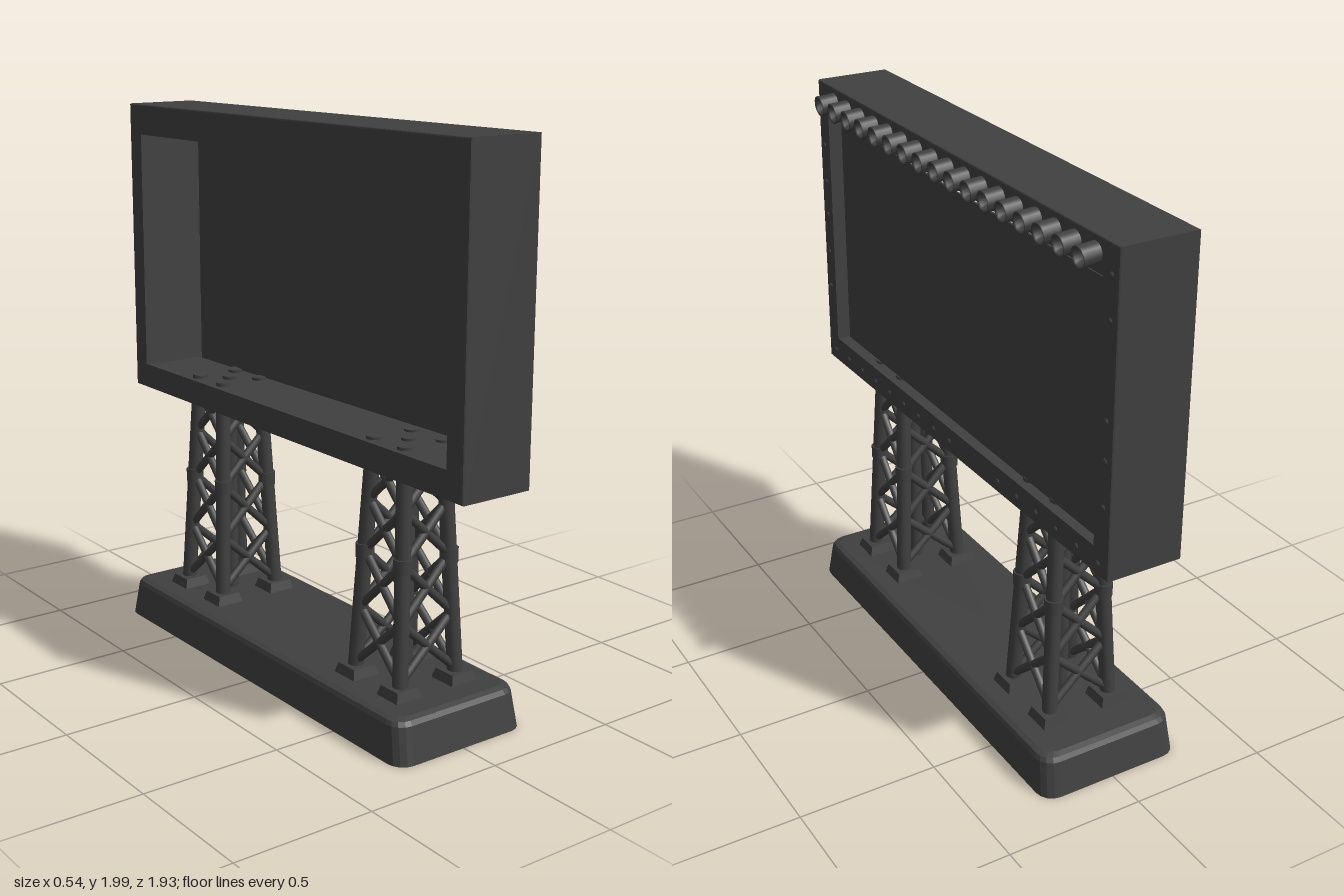
import * as THREE from 'three';

const steel = new THREE.MeshStandardMaterial({ color: 0x404040, side: THREE.DoubleSide });
steel.name = 'dark steel';

const UP = new THREE.Vector3(0, 1, 0);

function add(parent, name, geometry, x = 0, y = 0, z = 0) {
  const mesh = new THREE.Mesh(geometry, steel);
  mesh.name = name;
  mesh.position.set(x, y, z);
  parent.add(mesh);
  return mesh;
}

// Round bar between two points
function bar(parent, name, a, b, r, sides = 10) {
  const dir = b.clone().sub(a);
  const mid = a.clone().add(b).multiplyScalar(0.5);
  const mesh = add(parent, name, new THREE.CylinderGeometry(r, r, dir.length(), sides), mid.x, mid.y, mid.z);
  mesh.quaternion.setFromUnitVectors(UP, dir.normalize());
  return mesh;
}

// Shape from [z, y] corners; drawn mirrored so the extrusion can face +x
function outline(points, Type = THREE.Shape) {
  return new Type(points.map(([z, y]) => new THREE.Vector2(-z, y)));
}

function plate(shape, depth, bevel) {
  const g = new THREE.ExtrudeGeometry(shape, {
    depth: depth - 2 * bevel, bevelEnabled: bevel > 0, bevelSize: bevel,
    bevelThickness: bevel, bevelOffset: -bevel, bevelSegments: 2,
  });
  return g.translate(0, 0, bevel).rotateY(Math.PI / 2);
}

// Rounded rectangle ring at height y
function ring(hx, hz, r, y) {
  const pts = [];
  [[1, 1], [-1, 1], [-1, -1], [1, -1]].forEach(([sx, sz], q) => {
    for (let i = 0; i <= 4; i++) {
      const a = (q + i / 4) * Math.PI / 2;
      pts.push([sx * (hx - r) + r * Math.cos(a), y, sz * (hz - r) + r * Math.sin(a)]);
    }
  });
  return pts;
}

// Skin through a list of rings, with separate vertices for crisp edges
function loft(rings) {
  const pos = [];
  for (let k = 0; k + 1 < rings.length; k++) {
    const a = rings[k], b = rings[k + 1], n = a.length;
    for (let i = 0; i < n; i++) {
      const j = (i + 1) % n;
      pos.push(...a[i], ...b[i], ...b[j], ...a[i], ...b[j], ...a[j]);
    }
  }
  const g = new THREE.BufferGeometry();
  g.setAttribute('position', new THREE.Float32BufferAttribute(pos, 3));
  g.computeVertexNormals();
  return g;
}

// Hollow plinth, open underneath
function buildBase(parent) {
  add(parent, 'base', loft([
    ring(0.005, 0.005, 0.002, 0.12),
    ring(0.225, 0.785, 0.04, 0.12),
    ring(0.24, 0.82, 0.04, 0.01),
    ring(0.27, 0.85, 0.06, 0.01),
    ring(0.26, 0.825, 0.06, 0.135),
    ring(0.253, 0.815, 0.055, 0.15),
    ring(0.235, 0.795, 0.05, 0.157),
    ring(0.005, 0.005, 0.002, 0.157),
  ]));
}

// Lattice tower: four leaning legs, centre pole and crossed braces
function buildTower(parent, cz) {
  const tower = new THREE.Group();
  tower.name = 'tower';
  tower.position.z = cz;
  parent.add(tower);
  const corners = [[1, 1], [1, -1], [-1, -1], [-1, 1]];
  const at = ([sx, sz], y) => {
    const h = 0.12 - (y - 0.16) * 0.048;
    return new THREE.Vector3(sx * h, y, sz * h);
  };
  const levels = [0.2, 0.4, 0.6, 0.78, 0.94];
  corners.forEach((c, i) => {
    const next = corners[(i + 1) % 4];
    bar(tower, 'leg', at(c, 0.15), at(c, 0.995), 0.027, 12);
    const joint = at(c, 0.6);
    add(tower, 'legCollar', new THREE.CylinderGeometry(0.032, 0.032, 0.05, 12), joint.x, joint.y, joint.z);
    const pad = new THREE.CylinderGeometry(0.062, 0.076, 0.036, 4).rotateY(Math.PI / 4).toNonIndexed();
    pad.computeVertexNormals();
    add(tower, 'footPad', pad, c[0] * 0.118, 0.173, c[1] * 0.115);
    for (let k = 0; k < 4; k++) {
      bar(tower, 'brace', at(c, levels[k]), at(next, levels[k + 1]), 0.015, 8);
      bar(tower, 'brace', at(next, levels[k]), at(c, levels[k + 1]), 0.015, 8);
    }
  });
  bar(tower, 'centrePole', new THREE.Vector3(0, 0.06, 0), new THREE.Vector3(0, 0.995, 0), 0.026, 12);
}

// Deep open frame with the display sheet set just behind its front edge
function buildSign(parent) {
  const frame = outline([[0.97, 0.895], [0.97, 2.0], [-0.965, 1.985], [-0.965, 0.895]]);
  frame.holes.push(outline([[0.9, 0.987], [0.9, 1.895], [-0.893, 1.88], [-0.893, 0.982]], THREE.Path));
  add(parent, 'frame', plate(frame, 0.28, 0.006), -0.14);
  const panel = outline([[0.865, 1.003], [0.865, 1.862], [0.02, 1.845], [-0.857, 1.845], [-0.857, 0.987]]);
  add(parent, 'displayPanel', plate(panel, 0.008, 0), 0.095);
}

// Row of cup-shaped lamps along the top edge
function buildLamps(parent) {
  const cup = new THREE.LatheGeometry([
    [0.034, 0], [0.035, 0.05], [0.037, 0.066], [0.033, 0.068], [0.027, 0.062], [0.024, 0.03], [0.0001, 0.026],
  ].map(([r, y]) => new THREE.Vector2(r, y)), 16).rotateZ(-Math.PI / 2);
  for (let i = 0; i < 17; i++) {
    const t = i / 16;
    const lamp = add(parent, 'lamp', cup, 0.134, 1.947 - 0.014 * t, 0.838 - 1.685 * t);
    lamp.rotation.z = -0.1;
  }
}

// Rivets around the front border
function buildRivets(parent) {
  const dome = new THREE.SphereGeometry(0.012, 8, 6);
  const rivet = (z, y) => { add(parent, 'rivet', dome, 0.138, y, z).scale.x = 0.7; };
  [1.915, 1.76, 1.62, 1.49, 1.34, 1.2].forEach((y) => rivet(0.935, y));
  [1.89, 1.75, 1.43, 1.3, 1.14].forEach((y) => rivet(-0.93, y));
  for (let i = 0; i < 9; i++) rivet(0.915 - i * 0.1125, 0.937);
  for (let i = 0; i < 6; i++) rivet(-0.317 - i * 0.119, 0.935);
}

export function createModel() {
  const model = new THREE.Group();
  model.name = 'billboard';
  buildBase(model);
  buildTower(model, 0.545);
  buildTower(model, -0.513);
  buildSign(model);
  buildLamps(model);
  buildRivets(model);
  return model;
}
